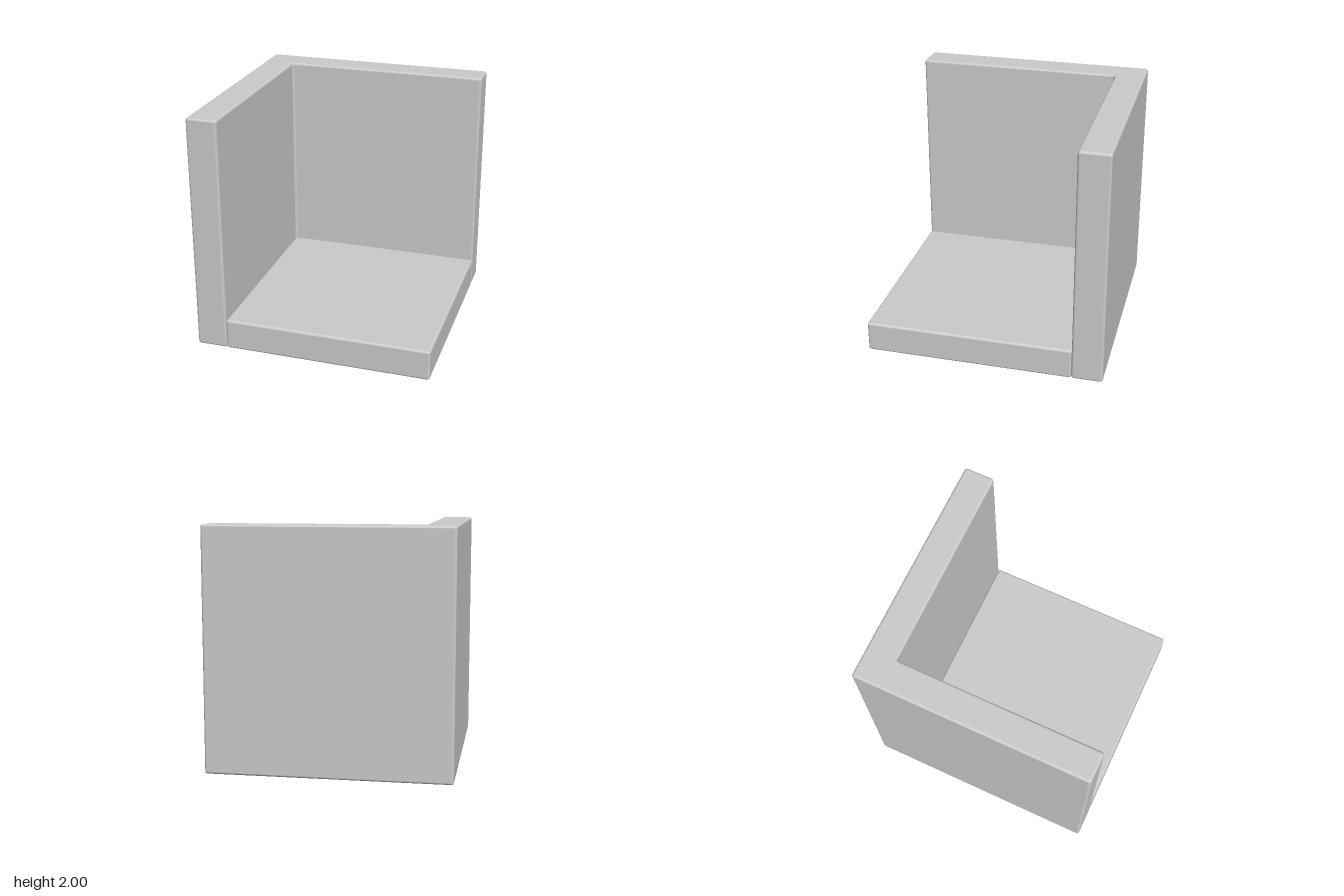
import * as THREE from 'three';
import { mergeVertices } from 'three/addons/utils/BufferGeometryUtils.js';
import { RoundedBoxGeometry } from 'three/addons/geometries/RoundedBoxGeometry.js';

const T = 0.26;       // slab thickness
const R = 0.022;      // softened edge radius
const BEVEL = 0.02;
const INNER = -1 + T; // inner wall faces

// L-shaped plan with a small arc at every corner
function wallPlan() {
  const q = Math.PI / 2;
  // x, y, signs towards the arc centre, start angle, clockwise
  const corners = [
    [-1, -1, 1, 1, 2 * q, false],
    [INNER, -1, -1, 1, 3 * q, false],
    [INNER, -INNER, 1, -1, 2 * q, true], // inner corner
    [1, -INNER, -1, 1, 3 * q, false],
    [1, 1, -1, -1, 0, false],
    [-1, 1, 1, -1, q, false],
  ];
  const shape = new THREE.Shape();
  for (const [x, y, sx, sy, start, clockwise] of corners) {
    shape.absarc(x + sx * R, y + sy * R, R, start, start + (clockwise ? -q : q), clockwise);
  }
  shape.closePath();
  return shape;
}

export function createModel() {
  const model = new THREE.Group();
  model.name = 'cornerModule';
  const material = new THREE.MeshStandardMaterial({ color: 0xcccccc });

  // Two walls joined into one upright L
  let wallGeometry = new THREE.ExtrudeGeometry(wallPlan(), {
    depth: 2 - 2 * BEVEL,
    bevelEnabled: true,
    bevelThickness: BEVEL,
    bevelSize: BEVEL,
    bevelOffset: -BEVEL,
    bevelSegments: 5,
    curveSegments: 6,
  });
  wallGeometry.rotateX(-Math.PI / 2);
  wallGeometry.translate(0, BEVEL, 0);
  // Shared vertices give area-weighted normals: flat faces, soft edges
  wallGeometry.deleteAttribute('uv');
  wallGeometry.deleteAttribute('normal');
  wallGeometry = mergeVertices(wallGeometry, 1e-5);
  wallGeometry.computeVertexNormals();
  const walls = new THREE.Mesh(wallGeometry, material);
  walls.name = 'cornerWalls';
  model.add(walls);

  // Floor slab fitted between the walls
  const side = 1 - INNER;
  const floor = new THREE.Mesh(new RoundedBoxGeometry(side, T, side, 5, BEVEL), material);
  floor.name = 'floorSlab';
  floor.position.set((1 + INNER) / 2, T / 2, (1 + INNER) / 2);
  model.add(floor);

  return model;
}
